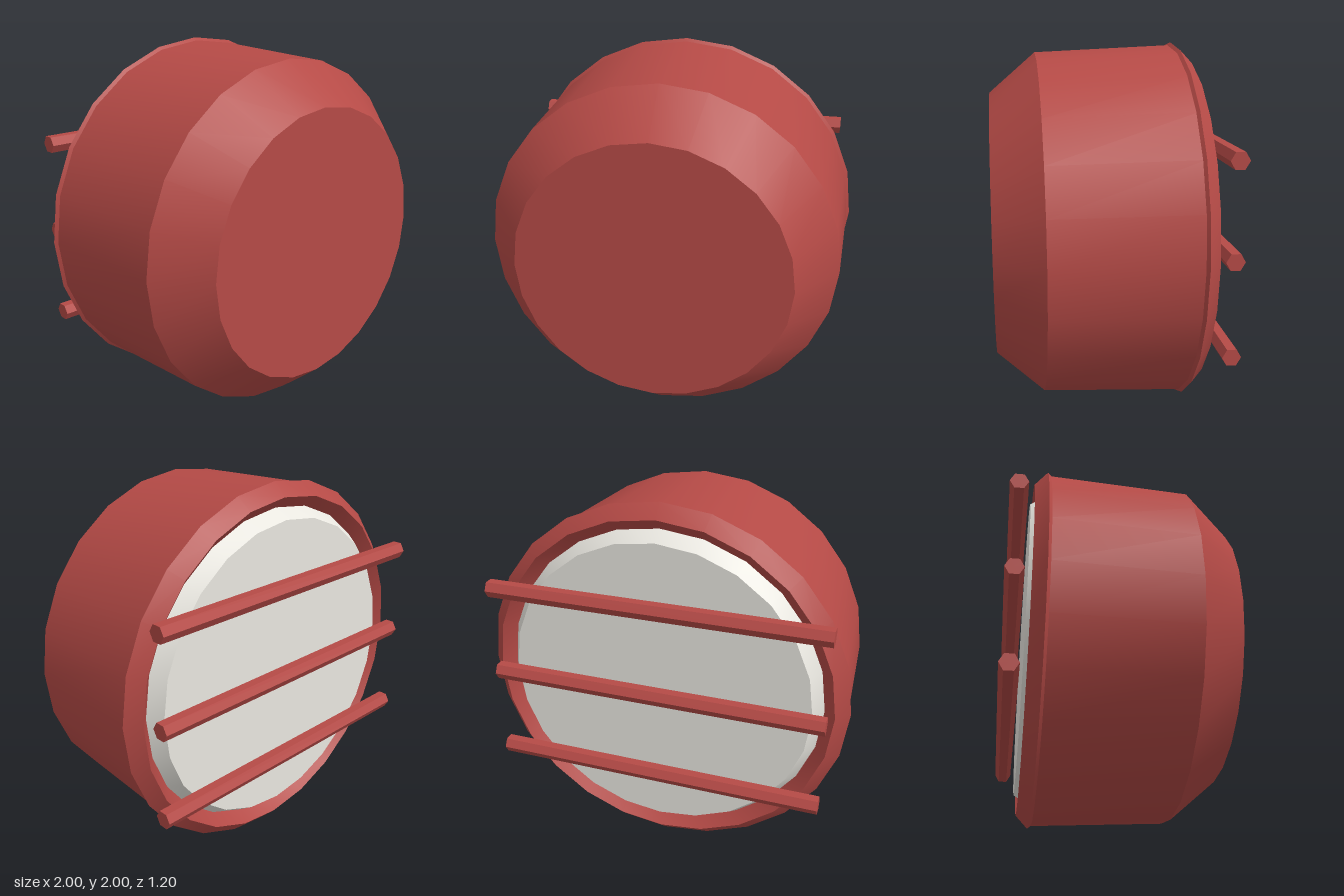
import * as THREE from 'three';
import { toCreasedNormals } from 'three/addons/utils/BufferGeometryUtils.js';

const RED = new THREE.MeshStandardMaterial({ color: 0xb54a46 });
const WHITE = new THREE.MeshStandardMaterial({ color: 0xe8e6df });
const SIDES = 24;

// Turns a [radius, z] profile round the front-to-back axis, keeping profile edges sharp.
function turned(name, profile, material) {
  const points = profile.map(([r, z]) => new THREE.Vector2(r, z));
  const geometry = new THREE.LatheGeometry(points, SIDES).rotateX(Math.PI / 2);
  const mesh = new THREE.Mesh(toCreasedNormals(geometry, 0.4), material);
  mesh.name = name;
  mesh.position.y = 1;
  return mesh;
}

export function createModel() {
  const model = new THREE.Group();
  model.name = 'roundHousing';

  // Closed body, slightly tapered, with a chamfered front
  model.add(turned('housing', [[0, -0.4], [0.985, -0.4], [0.95, 0.35], [0.735, 0.6], [0, 0.6]]
    .map((p) => p), RED));

  // Diamond-section ring round the back opening
  const R = 0.93, t = 0.068;
  model.add(turned('rim',
    [[R, -0.4 - t], [R + 0.07, -0.4], [R, -0.4 + t], [R - 0.07, -0.4], [R, -0.4 - t]], RED));

  // Pale lens with a bevelled edge
  model.add(turned('lens', [[0, -0.485], [0.82, -0.485], [0.885, -0.385], [0, -0.385]], WHITE));

  // Three hexagonal guard bars across the back
  const bars = new THREE.Group();
  bars.name = 'guardBars';
  const barGeometry = toCreasedNormals(
    new THREE.CylinderGeometry(0.048, 0.048, 1.8, 6).rotateZ(Math.PI / 2), 0.4);
  for (const offset of [-0.49, 0, 0.49]) {
    const bar = new THREE.Mesh(barGeometry, RED);
    bar.name = 'guardBar';
    bar.position.set(0, 1.003 + offset, -0.55);
    bars.add(bar);
  }
  model.add(bars);

  return model;
}
